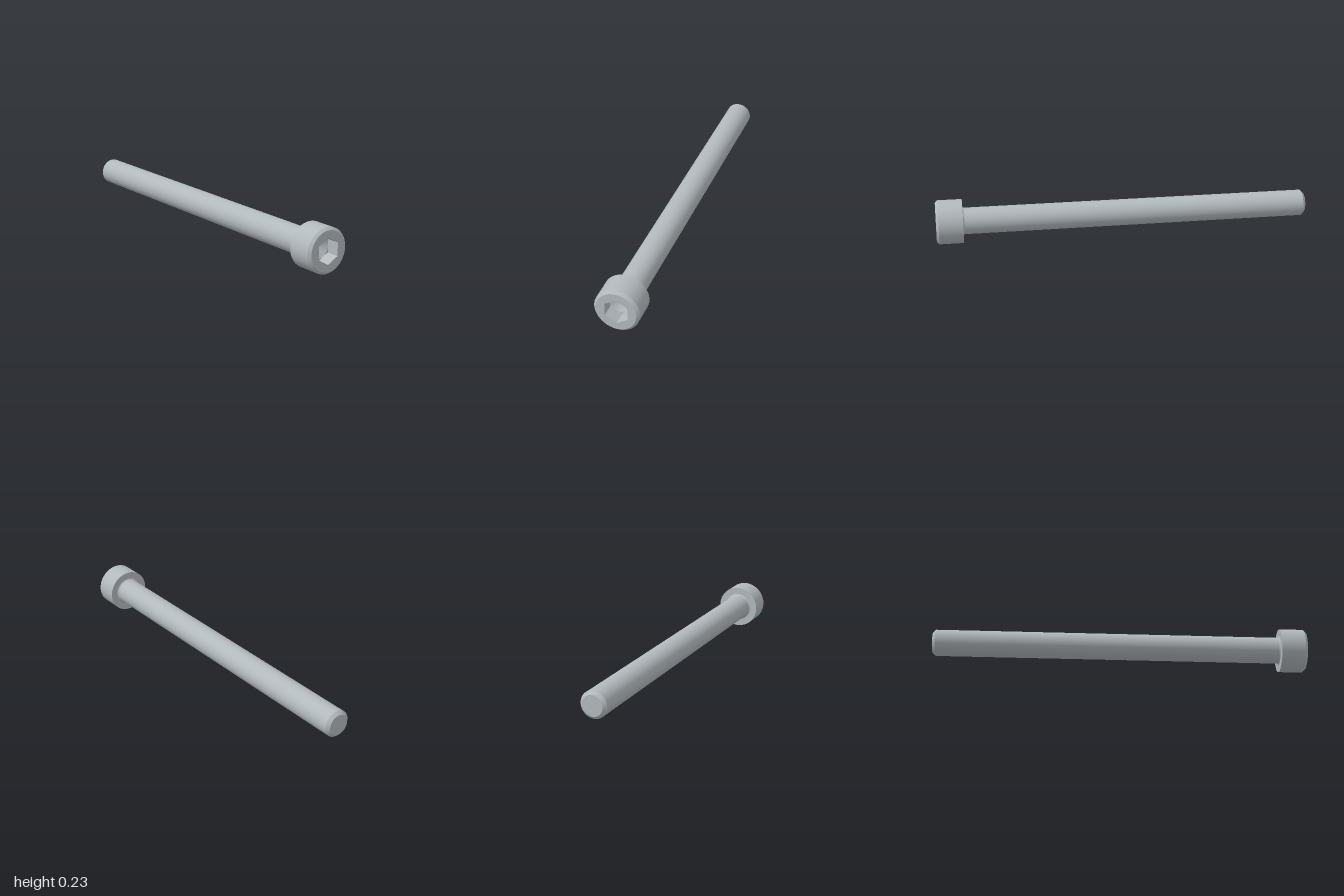
import * as THREE from 'three';

const HEAD_R = 0.116, FACE_R = 0.103, SHAFT_R = 0.07, TIP_R = 0.054;
const HEAD_BACK = 0.86, FLOOR = 0.93, FILLET = 0.01;
const HEX_FLAT = 0.058, HEX_R = HEX_FLAT / Math.cos(Math.PI / 6);

export function createModel() {
  const steel = new THREE.MeshStandardMaterial({ color: 0xb2b9bd });
  steel.name = 'steel grey';
  const model = new THREE.Group();
  model.name = 'socketHeadBolt';

  const add = (name, geometry, parent) => {
    const mesh = new THREE.Mesh(geometry, steel);
    mesh.name = name;
    parent.add(mesh);
  };
  // Surface of revolution about z; points are [radius, z]
  const turn = (points, sides = 72) =>
    new THREE.LatheGeometry(points.map(([r, z]) => new THREE.Vector2(r, z)), sides).rotateX(Math.PI / 2);
  // Separate bands keep the edges between them sharp
  const bands = (names, points, parent) =>
    names.forEach((name, i) => add(name, turn([points[i], points[i + 1]]), parent));

  // Shaft with chamfered tip
  const shaft = new THREE.Group();
  shaft.name = 'shaft';
  bands(['tipFace', 'tipChamfer', 'shank'],
    [[0, -1], [TIP_R, -1], [SHAFT_R, -0.984], [SHAFT_R, HEAD_BACK - FILLET]], shaft);

  // Small fillet where the shaft meets the head
  const curve = [];
  for (let i = 0; i <= 6; i++) {
    const a = (i / 6) * Math.PI / 2;
    curve.push([SHAFT_R + FILLET * (1 - Math.cos(a)), HEAD_BACK - FILLET * (1 - Math.sin(a))]);
  }
  add('underHeadFillet', turn(curve), shaft);

  // Cylindrical head with chamfered front rim
  const head = new THREE.Group();
  head.name = 'head';
  bands(['headBack', 'headSide', 'headChamfer'],
    [[SHAFT_R + FILLET, HEAD_BACK], [HEAD_R, HEAD_BACK], [HEAD_R, 0.987], [FACE_R, 1]], head);

  // Hexagon with points at top and bottom
  const hexPoints = Array.from({ length: 6 }, (_, i) => {
    const a = (i * Math.PI) / 3;
    return new THREE.Vector2(HEX_R * Math.sin(a), HEX_R * Math.cos(a));
  });

  // Front face, pierced by the hexagon
  const face = new THREE.Shape().absarc(0, 0, FACE_R, 0, Math.PI * 2);
  face.holes.push(new THREE.Path(hexPoints));
  add('headFace', new THREE.ShapeGeometry(face, 36).translate(0, 0, 1), head);

  // Hex socket: flat walls, corner ledges and a drilled cone
  const socket = new THREE.Group();
  socket.name = 'hexSocket';
  const walls = turn([[HEX_R, 1], [HEX_R, FLOOR]], 6).toNonIndexed();
  walls.computeVertexNormals();
  add('socketWalls', walls, socket);
  const ledge = new THREE.Shape(hexPoints);
  ledge.holes.push(new THREE.Path().absarc(0, 0, HEX_FLAT - 0.0003, 0, Math.PI * 2));
  add('socketLedge', new THREE.ShapeGeometry(ledge, 36).translate(0, 0, FLOOR), socket);
  add('socketCone', turn([[HEX_FLAT, FLOOR], [0, FLOOR - 0.033]]), socket);
  head.add(socket);

  model.add(shaft, head);
  model.position.y = HEAD_R;
  return model;
}
